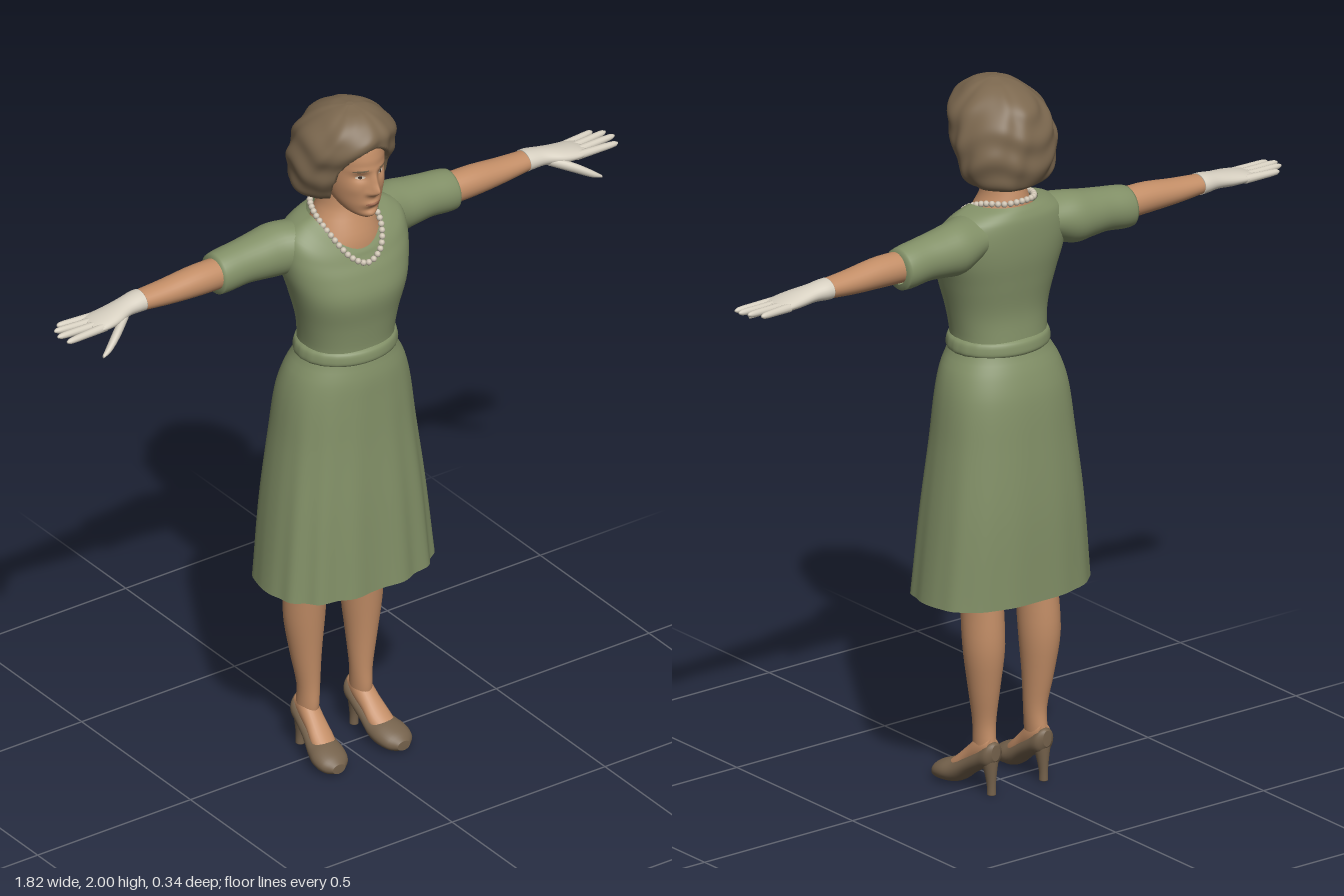
import * as THREE from 'three';
import { mergeGeometries } from 'three/addons/utils/BufferGeometryUtils.js';

const mat = (name, color, side = THREE.FrontSide) => {
  const m = new THREE.MeshStandardMaterial({ color, side });
  m.name = name;
  return m;
};

// Smooth interpolation of profile rows; the first column is the position
function at(rows, v) {
  const n = rows.length - 1;
  let k = 0;
  while (k < n - 1 && v > rows[k + 1][0]) k++;
  const a = rows[k], b = rows[k + 1], h = b[0] - a[0], t = (v - a[0]) / h;
  const slope = (i, j) => {
    const p = rows[Math.max(i - 1, 0)], q = rows[Math.min(i + 1, n)];
    return (q[j] - p[j]) / (q[0] - p[0]);
  };
  return a.map((_, j) => j === 0 ? v :
    a[j] * (1 + 2 * t) * (1 - t) ** 2 + b[j] * t * t * (3 - 2 * t) +
    h * (slope(k, j) * t * (1 - t) ** 2 - slope(k + 1, j) * t * t * (1 - t)));
}

// Skin a stack of rings, each made by ring(row, angle) -> [x, y, z]
function loft(rows, ring, steps, segs, capped = true) {
  const pos = [], idx = [], first = rows[0][0], last = rows[rows.length - 1][0];
  for (let i = 0; i <= steps; i++) {
    const row = at(rows, first + (last - first) * (1 - Math.cos(Math.PI * i / steps)) / 2);
    for (let j = 0; j < segs; j++) pos.push(...ring(row, j / segs * Math.PI * 2));
  }
  for (let i = 0; i < steps; i++) for (let j = 0; j < segs; j++) {
    const a = i * segs + j, b = i * segs + (j + 1) % segs, c = a + segs, d = b + segs;
    idx.push(a, c, b, b, c, d);
  }
  if (capped) for (const i of [0, steps]) {
    const mid = [0, 0, 0], center = pos.length / 3;
    for (let j = 0; j < segs; j++) for (let k = 0; k < 3; k++) mid[k] += pos[(i * segs + j) * 3 + k] / segs;
    pos.push(...mid);
    for (let j = 0; j < segs; j++) {
      const a = i * segs + j, b = i * segs + (j + 1) % segs;
      idx.push(center, i ? b : a, i ? a : b);
    }
  }
  const g = new THREE.BufferGeometry();
  g.setAttribute('position', new THREE.Float32BufferAttribute(pos, 3));
  g.setIndex(idx);
  g.computeVertexNormals();
  return g;
}

function mirrored(geo) {
  const g = geo.clone().scale(-1, 1, 1), ix = g.index.array;
  for (let i = 0; i < ix.length; i += 3) [ix[i], ix[i + 1]] = [ix[i + 1], ix[i]];
  g.computeVertexNormals();
  return g;
}

// Ring rules: upright [y, halfWidth, front, back, xCentre], arm [x, y, ry, z, rz], foot [z, x, rx, bottom, top]
const upright = ([y, w, f, b, x = 0], t) => [x + w * Math.cos(t), y, (f + b) / 2 + (f - b) / 2 * Math.sin(t)];
const along = ([x, y, ry, z, rz], t) => [x, y + ry * Math.sin(t), z + rz * Math.cos(t)];
const footRing = ([z, x, rx, b, t0], t) => [x + rx * Math.sin(t), (b + t0) / 2 + (t0 - b) / 2 * Math.cos(t), z];
const squarer = (v, n) => Math.sign(v) * Math.abs(v) ** (2 / n);
const clamp = THREE.MathUtils.clamp;

// Dress ring [y, halfWidth, front, back, squareness, neckline drop] with pleats that deepen to the hem
function dressRing([y, w, f, b, n, drop], t) {
  const s = Math.sin(t), front = Math.max(s, 0);
  const depth = clamp((1.2 - y) / 0.64, 0, 1) * (0.006 + 0.022 * front);
  const k = 1 + depth * Math.cos(14 * t);
  return [w * squarer(Math.cos(t), n) * k, y - drop * front ** 1.5, (f + b) / 2 + (f - b) / 2 * squarer(s, n) * k];
}
const dressRows = [
  [0.56, 0.253, 0.17, -0.174, 2.5, 0], [0.8, 0.228, 0.158, -0.172, 2.5, 0], [1.0, 0.203, 0.145, -0.16, 2.4, 0],
  [1.13, 0.187, 0.139, -0.148, 2.3, 0], [1.2, 0.168, 0.135, -0.13, 2.2, 0], [1.255, 0.138, 0.124, -0.107, 2.2, 0],
  [1.285, 0.134, 0.122, -0.103, 2.2, 0], [1.36, 0.145, 0.13, -0.098, 2.2, 0], [1.45, 0.168, 0.143, -0.11, 2.3, 0],
  [1.52, 0.186, 0.126, -0.12, 2.3, 0.005], [1.58, 0.19, 0.109, -0.122, 2.3, 0.03], [1.63, 0.176, 0.102, -0.118, 2.2, 0.065],
  [1.655, 0.138, 0.098, -0.108, 2.1, 0.08], [1.668, 0.1, 0.093, -0.098, 2, 0.085],
];
const beltRows = [[1.245, 0.139, 0.124, -0.107], [1.252, 0.147, 0.133, -0.115], [1.268, 0.147, 0.134, -0.115],
  [1.283, 0.142, 0.13, -0.111], [1.29, 0.132, 0.12, -0.102]];

// Head profile and the modelling of the face
const headRows = [
  [1.693, 0.018, 0.118, 0.07], [1.703, 0.036, 0.128, 0.03], [1.72, 0.052, 0.132, 0], [1.75, 0.067, 0.137, -0.04],
  [1.8, 0.079, 0.14, -0.08], [1.84, 0.083, 0.14, -0.1], [1.88, 0.083, 0.14, -0.1], [1.93, 0.074, 0.12, -0.09], [1.97, 0.04, 0.07, -0.05],
];
const bell = (x, y, cx, cy, sx, sy) => Math.exp(-(((x - cx) / sx) ** 2) - ((y - cy) / sy) ** 2);
function features(x, y) {
  const m = Math.abs(x);
  return 0.025 * bell(x, y, 0, 1.787, 0.013, 0.017) + 0.013 * bell(x, y, 0, 1.815, 0.011, 0.025)
    + 0.008 * bell(m, y, 0.014, 1.779, 0.008, 0.008) - 0.009 * bell(m, y, 0.033, 1.826, 0.018, 0.012)
    + 0.004 * bell(m, y, 0.03, 1.848, 0.03, 0.008) + 0.008 * bell(x, y, 0, 1.742, 0.022, 0.009)
    - 0.004 * bell(x, y, 0, 1.722, 0.02, 0.007) + 0.006 * bell(x, y, 0, 1.706, 0.02, 0.012)
    + 0.004 * bell(m, y, 0.05, 1.79, 0.02, 0.02);
}
const headRing = (row, t) => {
  const p = upright(row, t);
  if (p[2] > 0.03) p[2] += features(p[0], p[1]) * clamp((p[2] - 0.03) / 0.04, 0, 1);
  return p;
};
// Thin oval laid onto the face
function facePatch(cx, cy, rx, ry, lift, tilt = 0) {
  const g = new THREE.RingGeometry(0.001, 1, 24, 4).scale(rx, ry, 1).rotateZ(tilt).translate(cx, cy, 0);
  const p = g.attributes.position;
  for (let i = 0; i < p.count; i++) {
    const x = p.getX(i), y = p.getY(i), [, w, f, b] = at(headRows, y);
    p.setZ(i, (f + b) / 2 + (f - b) / 2 * Math.sqrt(Math.max(0, 1 - (x / w) ** 2)) + features(x, y) + lift);
  }
  g.computeVertexNormals();
  return g;
}

// Wavy hair, pushed in where the face shows
const hairRows = [
  [1.715, 0.07, 0, -0.1], [1.73, 0.113, 0.05, -0.125], [1.77, 0.138, 0.085, -0.14], [1.83, 0.146, 0.11, -0.145],
  [1.88, 0.14, 0.137, -0.139], [1.93, 0.121, 0.15, -0.118], [1.965, 0.09, 0.127, -0.08], [1.99, 0.05, 0.087, -0.03], [2.0, 0.01, 0.04, 0.02],
];
function hairRing([y, w, f, b], t) {
  const wave = 0.022 * Math.sin(y * 75 + 2.2 * Math.sin(3 * t + 0.6) + t) + 0.016 * Math.sin(9 * t + y * 28 + Math.sin(5 * t));
  const k = 1 + wave, x = w * Math.cos(t) * k;
  let z = (f + b) / 2 + (f - b) / 2 * Math.sin(t) * k;
  const d = Math.hypot(x / 0.08, (y - 1.79 + 0.12 * x) / 0.118);
  if (z > 0.01) z = THREE.MathUtils.lerp(0.01, z, THREE.MathUtils.smoothstep(d, 0.88, 1.04));
  return [x, y, z];
}

export function createModel() {
  const model = new THREE.Group();
  model.name = 'woman';
  const green = mat('dress green', 0x829067, THREE.DoubleSide), skin = mat('skin', 0xc28d66), brown = mat('hair brown', 0x7c684f);
  const leather = mat('shoe brown', 0x75624c), cream = mat('glove cream', 0xd6cfc0), pearl = mat('pearl', 0xcdc3b2);
  const white = mat('eye white', 0xd2c4b2), dark = mat('eye dark', 0x3d2e24), rose = mat('lip', 0xa66f54);
  const add = (name, geo, m) => {
    const mesh = new THREE.Mesh(geo, m);
    mesh.name = name;
    model.add(mesh);
  };
  const pair = (name, geo, m) => {
    add('left ' + name, geo, m);
    add('right ' + name, mirrored(geo), m);
  };

  // Dress
  add('dress', loft(dressRows, dressRing, 90, 112, false), green);
  add('belt', loft(beltRows, ([y, w, f, b], t) => upright([y, w, f, b].map((v, i) => i === 1 ? v * (1 + 0.006 * Math.cos(22 * t)) : v), t), 12, 72, false), green);
  pair('sleeve', loft([
    [0.12, 1.59, 0.06, -0.02, 0.085], [0.19, 1.578, 0.073, -0.047, 0.073], [0.25, 1.575, 0.066, -0.05, 0.066],
    [0.3, 1.573, 0.061, -0.051, 0.06], [0.385, 1.563, 0.057, -0.053, 0.056], [0.39, 1.565, 0.042, -0.05, 0.043],
  ], along, 24, 36, false), green);

  // Head, face and neck
  add('head', loft(headRows, headRing, 80, 88), skin);
  add('neck', loft([
    [1.52, 0.13, 0.09, -0.09], [1.58, 0.115, 0.088, -0.09], [1.61, 0.1, 0.083, -0.09], [1.65, 0.083, 0.068, -0.088],
    [1.68, 0.064, 0.056, -0.084], [1.72, 0.056, 0.05, -0.075], [1.8, 0.055, 0.05, -0.07],
  ], upright, 24, 40), skin);
  pair('eye', facePatch(0.033, 1.826, 0.012, 0.005, 0.001), white);
  pair('iris', facePatch(0.033, 1.826, 0.0047, 0.0047, 0.002), dark);
  pair('eyebrow', facePatch(0.035, 1.848, 0.019, 0.003, 0.0012, -0.12), brown);
  add('lips', facePatch(0, 1.742, 0.022, 0.0055, 0.001), rose);
  add('hair', loft(hairRows, hairRing, 84, 128), brown);

  // Necklace of beads
  const half = [[0.048, 1.678, -0.082], [0.081, 1.67, -0.025], [0.08, 1.63, 0.055], [0.046, 1.573, 0.106]];
  const string = new THREE.CatmullRomCurve3([
    [0, 1.68, -0.094], ...half, [0, 1.55, 0.117], ...half.map(([x, y, z]) => [-x, y, z]).reverse(),
  ].map(p => new THREE.Vector3(...p)), true);
  const beads = string.getSpacedPoints(40).slice(1).map(p => new THREE.SphereGeometry(0.0088, 10, 8).translate(p.x, p.y, p.z));
  add('necklace', mergeGeometries(beads), pearl);

  // Forearms and gloves
  pair('arm', loft([
    [0.34, 1.567, 0.043, -0.048, 0.043], [0.45, 1.569, 0.042, -0.047, 0.044], [0.55, 1.566, 0.034, -0.05, 0.039], [0.65, 1.567, 0.025, -0.053, 0.033],
  ], along, 16, 28), skin);
  pair('glove', loft([
    [0.627, 1.567, 0.029, -0.053, 0.036], [0.645, 1.567, 0.028, -0.053, 0.036], [0.68, 1.565, 0.024, -0.05, 0.034],
    [0.73, 1.558, 0.022, -0.043, 0.042], [0.78, 1.554, 0.016, -0.042, 0.045], [0.805, 1.554, 0.008, -0.043, 0.04],
  ], along, 22, 28), cream);
  const tips = [[0.9, 1.552, -0.004], [0.91, 1.557, -0.034], [0.901, 1.558, -0.062], [0.875, 1.555, -0.087]];
  tips.forEach(([x, y, z], i) => {
    const z0 = -0.011 - i * 0.021;
    const rows = [[0, 0.0125], [0.5, 0.0105], [0.92, 0.008], [1, 0.003]].map(([t, r]) =>
      [0.77 + (x - 0.77) * t, 1.553 + (y - 1.553) * t, r, z0 + (z - z0) * t, r]);
    pair('glove finger ' + (i + 1), loft(rows, along, 12, 12), cream);
  });
  pair('glove thumb', loft([
    [0.69, 1.555, 0.013, -0.03, 0.014], [0.745, 1.535, 0.015, 0.008, 0.015], [0.79, 1.512, 0.011, 0.033, 0.011], [0.815, 1.5, 0.004, 0.042, 0.004],
  ], along, 14, 14), cream);

  // Legs, feet and shoes
  pair('leg', loft([
    [0.1, 0.026, -0.01, -0.08, 0.089], [0.14, 0.027, -0.004, -0.081, 0.087], [0.2, 0.03, -0.005, -0.076, 0.086], [0.3, 0.042, 0.001, -0.093, 0.091],
    [0.42, 0.055, 0.013, -0.11, 0.094], [0.56, 0.053, 0.03, -0.105, 0.092], [0.7, 0.062, 0.045, -0.1, 0.09], [0.95, 0.078, 0.07, -0.09, 0.09],
  ], upright, 40, 32), skin);
  pair('foot', loft([
    [-0.078, 0.087, 0.022, 0.1, 0.16], [-0.04, 0.088, 0.029, 0.08, 0.165], [0, 0.091, 0.031, 0.06, 0.128],
    [0.04, 0.095, 0.036, 0.03, 0.09], [0.075, 0.1, 0.03, 0.02, 0.062],
  ], footRing, 20, 24), skin);
  pair('shoe', loft([
    [-0.093, 0.087, 0.014, 0.1, 0.145], [-0.08, 0.087, 0.03, 0.08, 0.15], [-0.05, 0.088, 0.035, 0.068, 0.13], [0, 0.092, 0.04, 0.038, 0.098],
    [0.04, 0.097, 0.047, 0.008, 0.076], [0.075, 0.102, 0.051, 0.001, 0.067], [0.11, 0.105, 0.042, 0.001, 0.052], [0.13, 0.106, 0.02, 0.008, 0.035],
  ], footRing, 32, 32), leather);
  pair('shoe heel', loft([
    [0, 0.012, -0.062, -0.088, 0.088], [0.03, 0.012, -0.06, -0.088, 0.088], [0.07, 0.018, -0.05, -0.09, 0.088], [0.1, 0.026, -0.04, -0.091, 0.088],
  ], upright, 12, 20), leather);

  return model;
}
